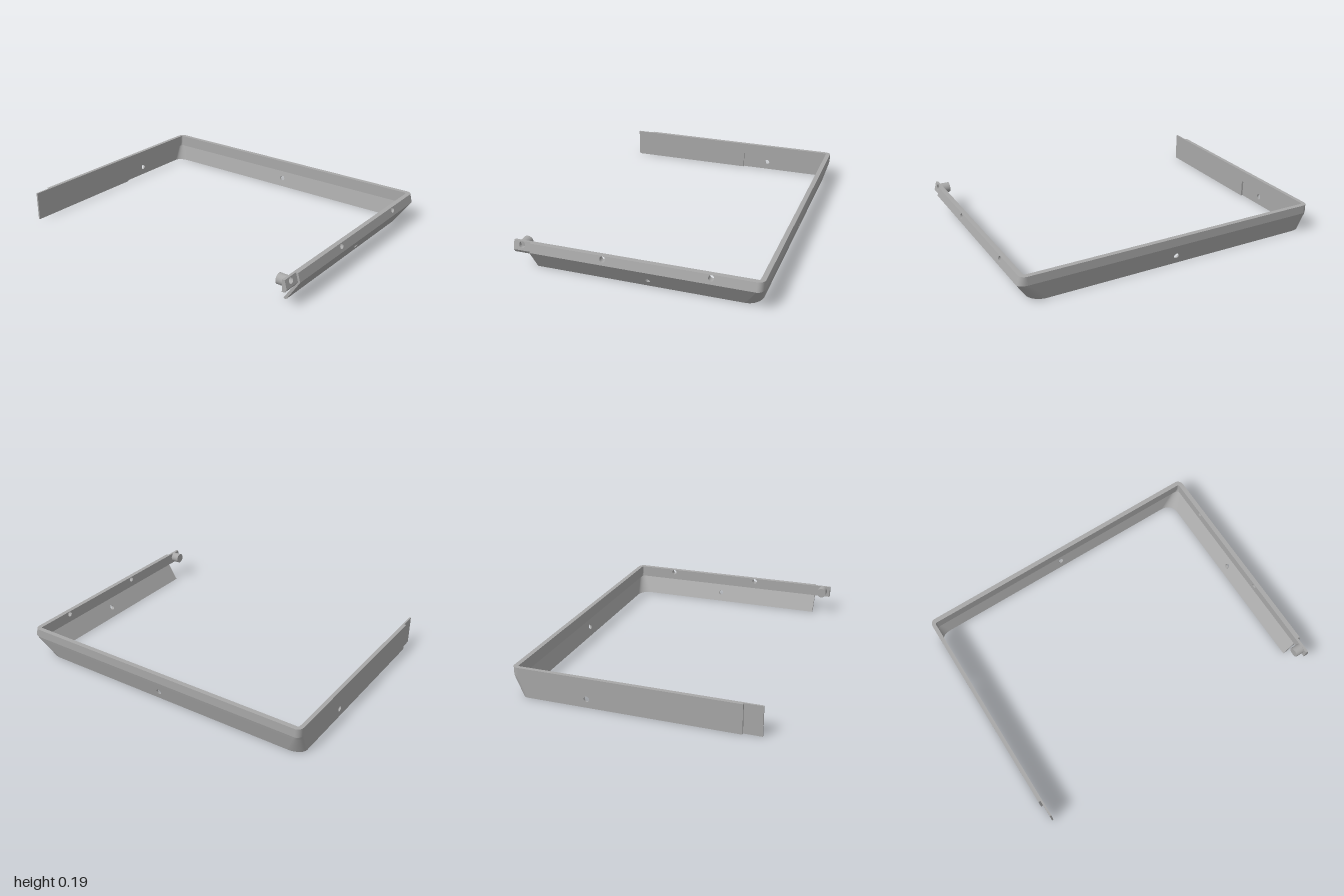
import * as THREE from 'three';

// Profile levels, bottom to top. o / i: outer and inner faces of the right (x),
// front (f) and back (b) walls; cF / cB: centres of the front and back corner bends.
const bandIn = { x: 0.725, f: 0.955, b: -0.975 };
const bottom = { y: 0, o: { x: 0.72, f: 0.915, b: -1 }, i: { x: 0.71, f: 0.895, b: -0.988 }, cF: [0.635, 0.815], cB: [0.66, -0.91] };
const lipLow = { y: 0.11, o: { x: 0.75, f: 0.987, b: -1 }, i: { x: 0.738, f: 0.967, b: -0.988 }, cF: [0.703, 0.925], cB: [0.707, -0.957] };
const lip = { ...lipLow, i: bandIn };
const crease = { y: 0.13, o: { x: 0.755, f: 1, b: -1 }, i: bandIn, cF: [0.715, 0.945], cB: [0.715, -0.965] };
const top = { ...crease, y: 0.185, o: { x: 0.755, f: 0.985, b: -1 } };
const sections = [['flap', bottom, lipLow], ['lip', lip, crease], ['band', crease, top]];

const lerp = THREE.MathUtils.lerp;
const END = -0.645, TIP = -0.755, POCKET = 0.1;

// Move every vertex of a geometry by a rule
function warp(geo, rule) {
  const p = geo.attributes.position;
  for (let n = 0; n < p.count; n++) p.setXYZ(n, ...rule(p.getX(n), p.getY(n), p.getZ(n)));
  geo.computeVertexNormals();
  return geo;
}

// Slab between two levels: u0/u1 are the [low, high] ends, holes are [u, y, radius]
function panel(lo, hi, u0, u1, holes, place) {
  const s = new THREE.Shape([
    new THREE.Vector2(u0[0], lo.y), new THREE.Vector2(u1[0], lo.y),
    new THREE.Vector2(u1[1], hi.y), new THREE.Vector2(u0[1], hi.y),
  ]);
  for (const [u, y, r] of holes) s.holes.push(new THREE.Path().absarc(u, y, r, 0, Math.PI * 2, true));
  const geo = new THREE.ExtrudeGeometry(s, { depth: 1, bevelEnabled: false, curveSegments: 16 });
  return warp(geo, (u, y, t) => place(u, y, t, (y - lo.y) / (hi.y - lo.y)));
}

// Wall surface depth at height k (0..1) and thickness t (0 inner, 1 outer)
const depth = (lo, hi, key, k, t) =>
  lerp(lerp(lo.i[key], hi.i[key], k), lerp(lo.o[key], hi.o[key], k), t);

// Bend joining two walls, whose radius changes with height
function corner(lo, hi, isFront) {
  const key = isFront ? 'f' : 'b', c = isFront ? 'cF' : 'cB';
  return warp(new THREE.BoxGeometry(1, 1, 1, 12, 1, 1), (a, b, d) => {
    const k = b + 0.5, t = d + 0.5, ang = (a + 0.5) * Math.PI / 2;
    const cx = lerp(lo[c][0], hi[c][0], k), cz = lerp(lo[c][1], hi[c][1], k);
    const rx = depth(lo, hi, 'x', k, t) - cx, rz = depth(lo, hi, key, k, t) - cz;
    const sx = isFront ? Math.sin(ang) : Math.cos(ang);
    const sz = isFront ? Math.cos(ang) : Math.sin(ang);
    return [cx + rx * sx, lerp(lo.y, hi.y, k), cz + rz * sz];
  });
}

export function createModel() {
  const model = new THREE.Group();
  const grey = new THREE.MeshStandardMaterial({ color: 0xa8a8a8 });
  grey.name = 'metal grey';
  const add = (name, geo) => {
    const m = new THREE.Mesh(geo, grey);
    m.name = name;
    model.add(m);
    return m;
  };

  const frontHoles = { flap: [[0.07, 0.053, 0.015]], lip: [], band: [[-0.185, 0.165, 0.017], [0.46, 0.165, 0.017]] };
  for (const [name, lo, hi] of sections) {
    const flap = name === 'flap';
    const frontPlace = (u, y, t, k) => [u, y, depth(lo, hi, 'f', k, t)];
    const rightPlace = (u, y, t, k) => [depth(lo, hi, 'x', k, t), y, -u];
    const backPlace = (u, y, t, k) => [-u, y, depth(lo, hi, 'b', k, t)];

    // Three straight walls
    add(name + 'Front', panel(lo, hi, [END, END], [lo.cF[0], hi.cF[0]], frontHoles[name], frontPlace));
    add(name + 'Side', panel(lo, hi, [-lo.cF[1], -hi.cF[1]], [-lo.cB[1], -hi.cB[1]],
      flap ? [[0.02, 0.055, 0.017]] : [], rightPlace));
    const backEnd = flap ? -POCKET : -END;
    add(name + 'Back', panel(lo, hi, [-lo.cB[0], -hi.cB[0]], [backEnd, backEnd],
      flap ? [[-0.28, 0.055, 0.017]] : [], backPlace));

    // Bends
    add(name + 'FrontCorner', corner(lo, hi, true));
    add(name + 'BackCorner', corner(lo, hi, false));

    // Front joining tab, set in from the outer face
    if (!flap) {
      add(name + 'FrontTab', panel(lo, hi, [TIP, TIP], [END, END],
        name === 'band' ? [[-0.702, 0.163, 0.019]] : [],
        (u, y, t, k) => [u, y, lerp(0.955, depth(lo, hi, 'f', k, 1) - 0.014, t)]));
    }
  }

  // Full-thickness lower part of the back wall, beside the pocket
  add('backWallThick', new THREE.BoxGeometry(POCKET - END, 0.11, 0.025))
    .position.set((POCKET + END) / 2, 0.055, -0.9875);

  // Thin back joining tab
  add('backTab', new THREE.BoxGeometry(END - TIP, 0.185, 0.011))
    .position.set((END + TIP) / 2, 0.0925, -0.9805);

  // Screw boss behind the front tab
  const boss = add('screwBoss', new THREE.CylinderGeometry(0.033, 0.033, 0.055, 32));
  boss.rotation.x = Math.PI / 2;
  boss.position.set(-0.703, 0.152, 0.9275);

  return model;
}
